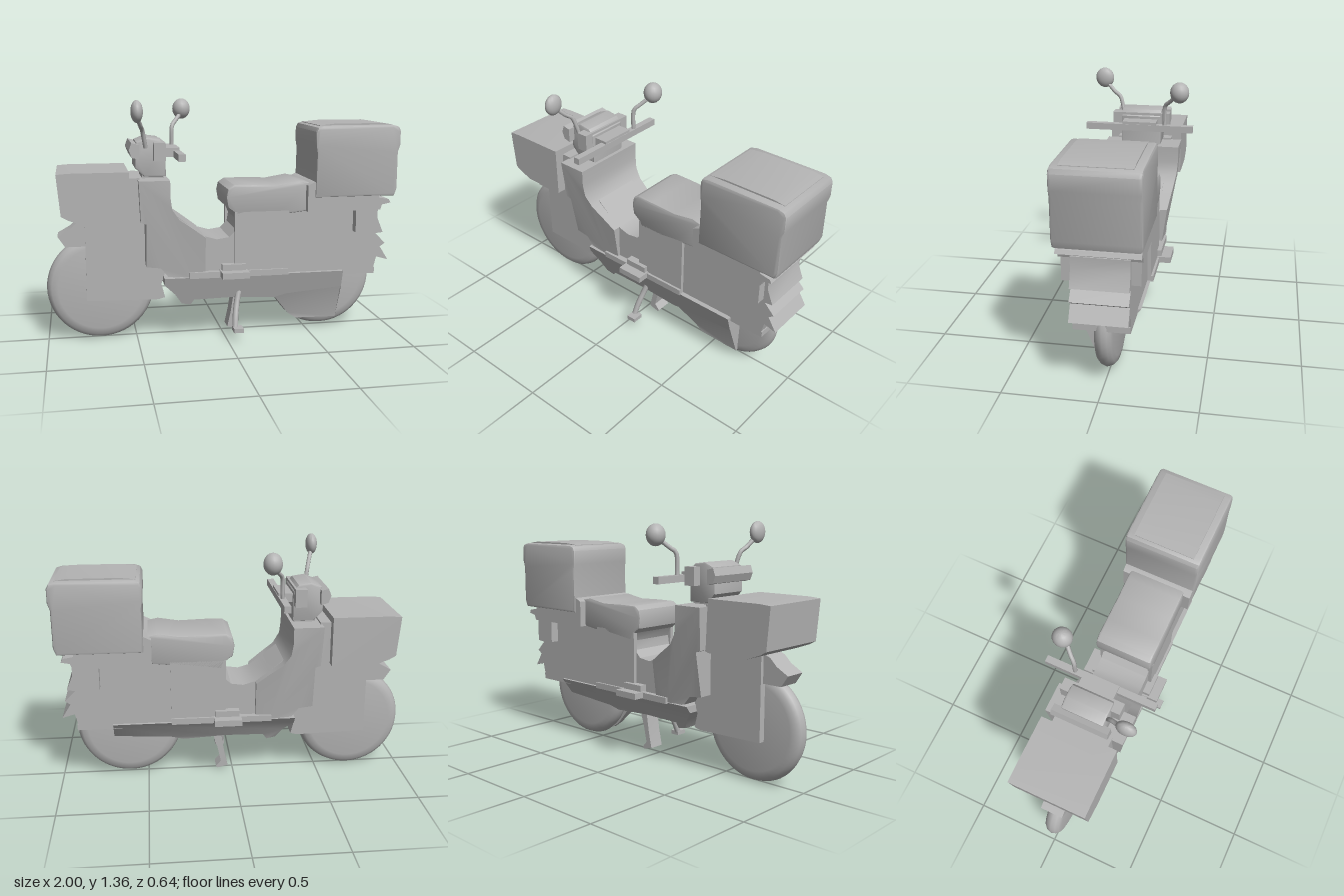
import * as THREE from 'three';
import { toCreasedNormals } from 'three/addons/utils/BufferGeometryUtils.js';

export function createModel() {
  const root = new THREE.Group();
  root.name = 'deliveryScooter';
  const grey = new THREE.MeshStandardMaterial({ color: 0xb4b4b4 });
  grey.name = 'plain grey';

  const add = (name, geo, crease = 0.6) => {
    const m = new THREE.Mesh(toCreasedNormals(geo, crease), grey);
    m.name = name;
    root.add(m);
    return m;
  };
  // Side profile in x/y, extruded from z0 to z1; warp(x, y, z) may return a new z
  const profile = (name, pts, z0, z1, bevel = 0, warp = null) => {
    const shape = new THREE.Shape(pts.map(p => new THREE.Vector2(p[0], p[1])));
    const geo = new THREE.ExtrudeGeometry(shape, {
      depth: z1 - z0 - 2 * bevel, bevelEnabled: bevel > 0, bevelThickness: bevel,
      bevelSize: bevel, bevelOffset: -bevel, bevelSegments: 2,
    });
    geo.translate(0, 0, z0 + bevel);
    if (warp) {
      const p = geo.attributes.position;
      for (let i = 0; i < p.count; i++) p.setZ(i, warp(p.getX(i), p.getY(i), p.getZ(i)));
    }
    return add(name, geo);
  };
  const box = (name, x0, x1, y0, y1, z0, z1) => add(name,
    new THREE.BoxGeometry(x1 - x0, y1 - y0, z1 - z0)
      .translate((x0 + x1) / 2, (y0 + y1) / 2, (z0 + z1) / 2));
  const tube = (name, pts, r) => add(name, new THREE.TubeGeometry(
    new THREE.CatmullRomCurve3(pts.map(p => new THREE.Vector3(...p))), 12, r, 8), 1);

  // Wheels: solid discs with rounded tread
  const tread = [[0, -0.048], [0.24, -0.048], [0.275, -0.042], [0.293, -0.025], [0.302, 0],
    [0.293, 0.025], [0.275, 0.042], [0.24, 0.048], [0, 0.048]].map(p => new THREE.Vector2(...p));
  for (const [name, x, y] of [['frontWheel', -0.698, 0.305], ['rearWheel', 0.6, 0.315]]) {
    add(name, new THREE.LatheGeometry(tread, 56).rotateX(Math.PI / 2).translate(x, y, 0), 0.9);
  }

  // Front fork cover and fender
  profile('forkCover', [[-0.78, 0.24], [-0.38, 0.23], [-0.34, 0.24], [-0.36, 0.32], [-0.34, 0.38],
    [-0.38, 0.44], [-0.42, 0.72], [-0.78, 0.72]], -0.085, 0.085);
  profile('frontFender', [[-0.89, 0.55], [-0.77, 0.55], [-0.77, 0.71], [-0.82, 0.69], [-0.86, 0.65],
    [-0.93, 0.61]], -0.065, 0.065);

  // Front carrier box
  profile('frontBox', [[-0.925, 0.975], [-0.905, 0.75], [-0.87, 0.73], [-0.79, 0.7], [-0.54, 0.7],
    [-0.54, 0.98], [-0.86, 0.98]], -0.22, 0.22);
  box('frontBoxMount', -0.55, -0.48, 0.69, 0.94, -0.165, 0.165);

  // Leg shield, widening towards the top, with a curved rear face
  const widen = (x, y, z) => z * (1 + 0.4 * THREE.MathUtils.clamp((y - 0.45) / 0.35, 0, 1));
  profile('legShield', [[-0.45, 0.44], [-0.37, 0.43], [-0.33, 0.38], [-0.2, 0.37], [-0.12, 0.4],
    [-0.12, 0.6], [-0.2, 0.66], [-0.27, 0.71], [-0.31, 0.77], [-0.32, 0.84], [-0.32, 0.93],
    [-0.49, 0.93], [-0.48, 0.7], [-0.45, 0.69]], -0.163, 0.163, 0, widen);

  // Main body with step-through dip and ridged tail
  profile('body', [[-0.3, 0.36], [0.88, 0.36], [0.9, 0.44], [0.97, 0.42], [0.92, 0.5], [0.95, 0.52],
    [0.89, 0.58], [0.935, 0.585], [0.9, 0.67], [0.9, 0.74], [0.47, 0.8], [0.05, 0.78], [0.07, 0.69],
    [0.06, 0.63], [0.02, 0.59], [-0.05, 0.58], [-0.12, 0.6], [-0.2, 0.66], [-0.3, 0.74]], -0.147, 0.147);
  for (const s of [-1, 1]) {
    const pair = (a, b) => s > 0 ? [a, b] : [-b, -a];
    box('sidePanel', 0.05, 0.36, 0.38, 0.735, ...pair(0.14, 0.167));
    box('footTrim', -0.21, 0.36, 0.365, 0.4, ...pair(0.13, 0.18));
    box('footPeg', -0.035, 0.12, 0.37, 0.405, ...pair(0.15, 0.245));
    box('footPegTop', -0.025, 0.11, 0.4, 0.44, ...pair(0.14, 0.19));
    box('rearIndicator', 0.75, 0.88, 0.6, 0.74, ...pair(0.13, 0.197));
  }

  // Seat
  profile('seat', [[0.07, 0.68], [0.05, 0.73], [0.01, 0.76], [0, 0.82], [0.01, 0.865], [0.045, 0.888],
    [0.15, 0.888], [0.3, 0.883], [0.42, 0.903], [0.48, 0.89], [0.48, 0.73], [0.3, 0.71]],
  -0.167, 0.167, 0.012);

  // Underbody, uneven left and right, narrowing downwards
  profile('underbody', [[-0.35, 0.33], [-0.29, 0.27], [-0.25, 0.21], [-0.2, 0.2], [-0.18, 0.23],
    [0.05, 0.235], [0.29, 0.22], [0.36, 0.24], [0.69, 0.27], [0.69, 0.37], [-0.35, 0.37]],
  -1, 1, 0, (x, y, z) => z > 0 ? 0.135 + 0.3 * (y - 0.24) : -0.06 - 0.75 * Math.max(0, y - 0.23));
  // Exhaust-side plate flaring down over the rear wheel
  profile('exhaustPlate', [[0.28, 0.24], [0.33, 0.17], [0.39, 0.1], [0.44, 0.065], [0.685, 0.06],
    [0.69, 0.25], [0.69, 0.36], [0.28, 0.36]],
  0, 1, 0, (x, y, z) => z < 0.5 ? 0.035 : 0.06 + 0.11 * THREE.MathUtils.smoothstep(y, 0.1, 0.34));
  box('rearHubCover', 0.64, 0.89, 0.34, 0.375, -0.145, 0.145);

  // Rear carrier, top box and lid ridge
  profile('rearCarrier', [[0.46, 0.73], [0.89, 0.73], [0.9, 0.76], [0.95, 0.77], [0.94, 0.79],
    [0.88, 0.8], [0.88, 0.85], [0.5, 0.9], [0.46, 0.88]], -0.208, 0.208);
  profile('topBox', [[0.5, 0.81], [0.97, 0.81], [0.985, 0.85], [0.985, 1.06], [0.998, 1.1],
    [0.998, 1.18], [0.985, 1.203], [0.95, 1.213], [0.54, 1.213], [0.51, 1.203], [0.498, 1.18],
    [0.498, 1.1], [0.505, 1.06]], -0.218, 0.218, 0.015);
  profile('lidRidge', [[0.53, 1.2], [0.96, 1.2], [0.96, 1.213], [0.9, 1.222], [0.62, 1.222],
    [0.53, 1.213]], -0.175, 0.175);

  // Steering head, instrument blocks and handlebar
  box('steeringNeck', -0.46, -0.34, 0.9, 1.0, -0.1, 0.1);
  profile('headUnit', [[-0.45, 0.94], [-0.33, 0.94], [-0.33, 1.11], [-0.36, 1.145], [-0.43, 1.155],
    [-0.49, 1.13], [-0.5, 1.03], [-0.5, 0.99]], -0.12, 0.12, 0.01);
  profile('headlamp', [[-0.48, 1.04], [-0.48, 1.12], [-0.52, 1.13], [-0.535, 1.09], [-0.52, 1.05]],
    -0.16, 0.16);
  box('instrumentCluster', -0.4, -0.335, 1.03, 1.13, -0.17, 0.17);
  box('barClamp', -0.34, -0.25, 1.045, 1.095, -0.1, 0.1);
  box('handlebar', -0.285, -0.247, 1.042, 1.08, -0.318, 0.318);

  // Mirrors on bent stems
  const mirror = (name, x, y, z, rx, ry, rz) => add(name,
    new THREE.SphereGeometry(1, 20, 12).scale(rx, ry, rz).translate(x, y, z), 1);
  tube('leftMirrorStem', [[-0.44, 1.1, 0.12], [-0.46, 1.2, 0.15], [-0.47, 1.22, 0.18], [-0.49, 1.27, 0.23]], 0.012);
  mirror('leftMirror', -0.495, 1.303, 0.25, 0.033, 0.06, 0.056);
  tube('rightMirrorStem', [[-0.265, 1.07, -0.15], [-0.26, 1.2, -0.155], [-0.24, 1.225, -0.18], [-0.2, 1.27, -0.22]], 0.012);
  mirror('rightMirror', -0.195, 1.293, -0.243, 0.052, 0.06, 0.055);

  // Side stand and centre stand
  tube('sideStand', [[0.08, 0.27, 0.13], [0.065, 0.21, 0.15], [0.05, 0.13, 0.185], [0.045, 0.075, 0.205]], 0.017);
  box('sideStandFoot', 0.03, 0.085, 0.058, 0.082, 0.19, 0.255);
  profile('centreStand', [[0.07, 0.25], [0.05, 0.12], [0.03, 0.03], [0.09, 0.015], [0.1, 0.025],
    [0.07, 0.06], [0.09, 0.15], [0.12, 0.25]], -0.045, 0.045);

  return root;
}
